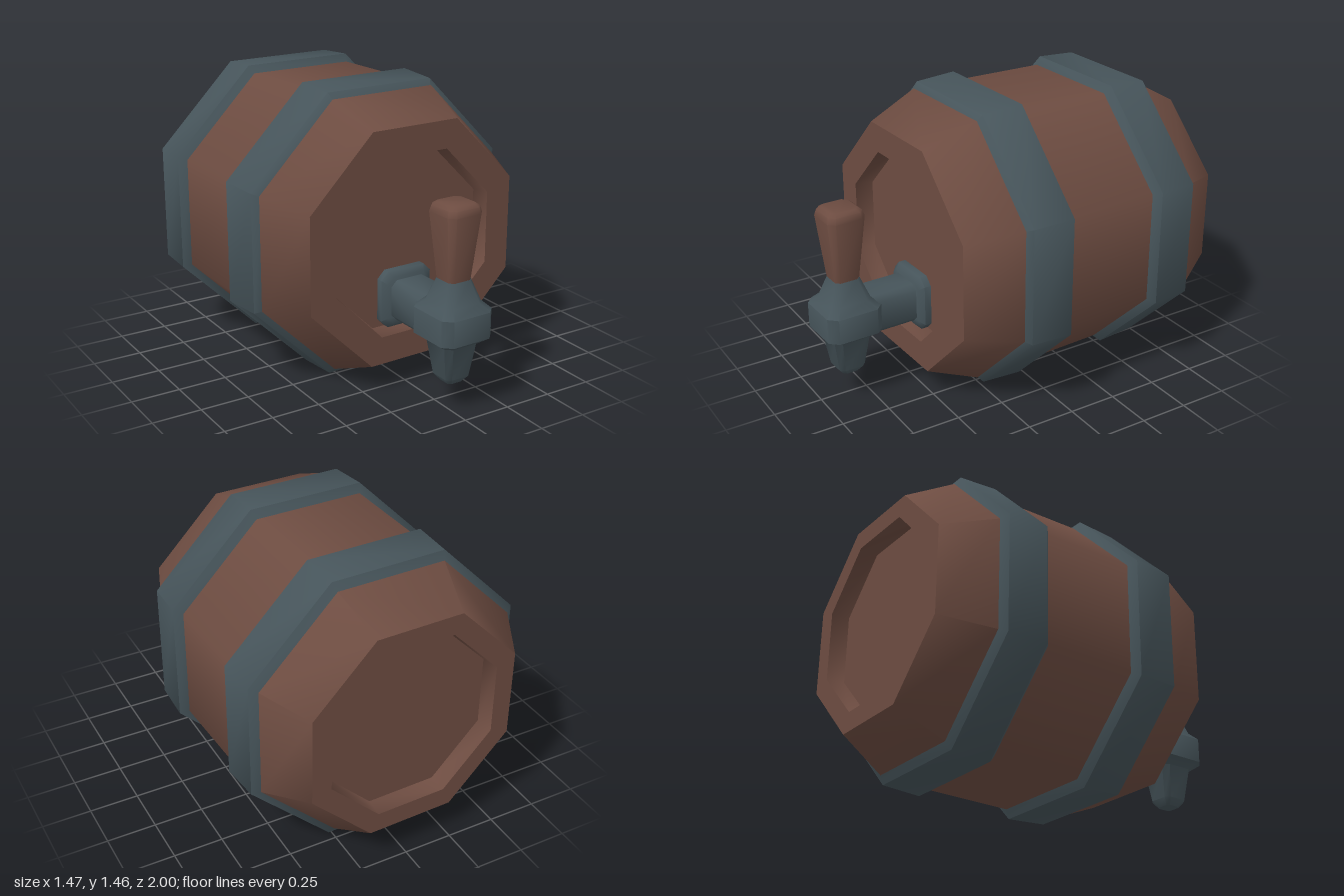
import * as THREE from 'three';
import { toCreasedNormals } from 'three/addons/utils/BufferGeometryUtils.js';

const CREASE = THREE.MathUtils.degToRad(50);
const OCT = Math.cos(Math.PI / 8); // flat-to-corner ratio of an octagon

// Octagonal lathe along +z; profile is [flat radius, z] from back to front
function octLathe(profile) {
  const pts = profile.map(([r, z]) => new THREE.Vector2(r / OCT, z));
  const geo = new THREE.LatheGeometry(pts, 8, Math.PI / 8);
  geo.rotateX(Math.PI / 2);
  return toCreasedNormals(geo, CREASE);
}

// Capped loft of chamfered squares along +y; levels are [y, half width, chamfer]
function squareLoft(levels) {
  const pos = [], idx = [];
  for (const [y, h, c] of levels) {
    const k = h - c;
    for (const [x, z] of [[h, k], [h, -k], [k, -h], [-k, -h], [-h, -k], [-h, k], [-k, h], [k, h]]) pos.push(x, y, z);
  }
  const n = levels.length;
  for (let i = 0; i < n - 1; i++) {
    for (let j = 0; j < 8; j++) {
      const a = i * 8 + j, b = i * 8 + (j + 1) % 8;
      idx.push(a, b, b + 8, a, b + 8, a + 8);
    }
  }
  const last = (n - 1) * 8;
  for (let j = 1; j < 7; j++) {
    idx.push(0, j + 1, j);
    idx.push(last, last + j, last + j + 1);
  }
  const geo = new THREE.BufferGeometry();
  geo.setAttribute('position', new THREE.Float32BufferAttribute(pos, 3));
  geo.setIndex(idx);
  return toCreasedNormals(geo, CREASE);
}

export function createModel() {
  const wood = new THREE.MeshStandardMaterial({ color: 0x6d4c41 });
  wood.name = 'brown wood';
  const iron = new THREE.MeshStandardMaterial({ color: 0x46545a });
  iron.name = 'blue grey iron';

  const model = new THREE.Group();
  model.name = 'tappedBarrel';
  const add = (parent, name, geo, mat) => {
    const mesh = new THREE.Mesh(geo, mat);
    mesh.name = name;
    parent.add(mesh);
    return mesh;
  };

  // Barrel lies along z, turned very slightly
  const barrel = new THREE.Group();
  barrel.name = 'barrel';
  barrel.position.y = 0.733;
  barrel.rotation.y = 0.028;
  model.add(barrel);

  // Staves with a recessed head at both ends
  add(barrel, 'staves', octLathe([
    [0, -0.89], [0.43, -0.89], [0.44, -0.98], [0.54, -0.98],
    [0.675, -0.735], [0.685, -0.47], [0.69, 0], [0.69, 0.275],
    [0.585, 0.54], [0.444, 0.54], [0.43, 0.45], [0, 0.45],
  ]), wood);

  // Bevelled hoops
  add(barrel, 'frontHoop', octLathe([[0.685, -0.003], [0.732, 0.028], [0.72, 0.245], [0.68, 0.277]]), iron);
  add(barrel, 'backHoop', octLathe([[0.665, -0.745], [0.711, -0.715], [0.722, -0.51], [0.68, -0.475]]), iron);

  // Tap
  const tap = new THREE.Group();
  tap.name = 'tap';
  tap.position.set(-0.005, -0.733, 0);
  barrel.add(tap);

  // Wall flange and pipe, pointing forward
  const flange = add(tap, 'tapFlange', squareLoft([[0.44, 0.145, 0.04], [0.485, 0.145, 0.04], [0.51, 0.122, 0.035]]), iron);
  const pipe = add(tap, 'tapPipe', squareLoft([[0.45, 0.103, 0.03], [0.76, 0.103, 0.03]]), iron);
  for (const part of [flange, pipe]) {
    part.rotation.x = Math.PI / 2;
    part.position.y = 0.45;
  }

  // Spout, valve body and neck in one piece
  const body = add(tap, 'tapBody', squareLoft([
    [0.145, 0.042, 0.014], [0.18, 0.07, 0.022], [0.35, 0.097, 0.03], [0.385, 0.146, 0.042],
    [0.515, 0.146, 0.042], [0.555, 0.105, 0.032], [0.662, 0.065, 0.02],
  ]), iron);
  body.position.z = 0.853;

  // Wooden handle
  const handle = add(tap, 'tapHandle', squareLoft([
    [0.655, 0.064, 0.02], [0.985, 0.098, 0.03], [1.015, 0.09, 0.028], [1.03, 0.07, 0.022],
  ]), wood);
  handle.position.z = 0.853;

  return model;
}
